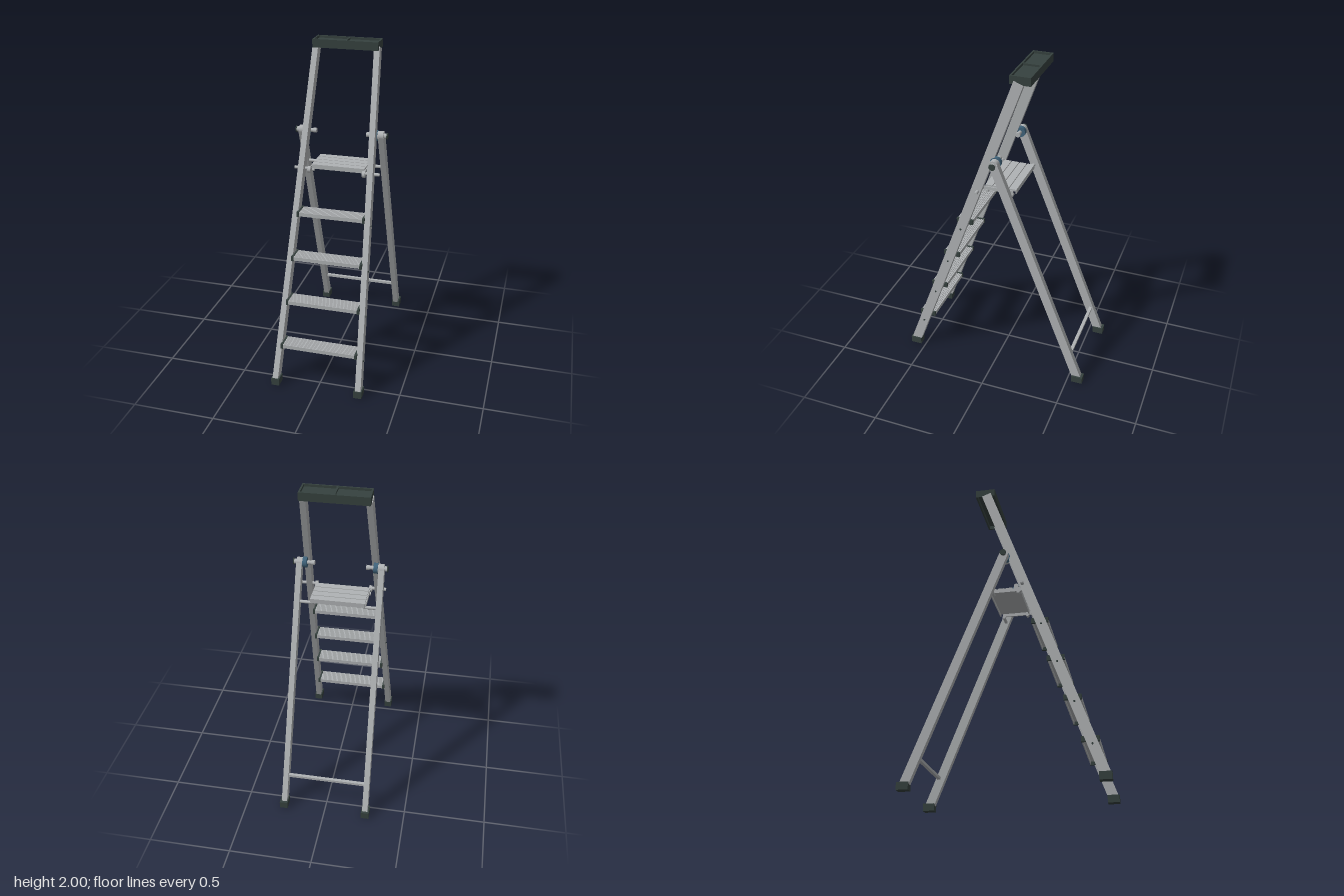
import * as THREE from 'three';

const mat = (name, color) => {
  const m = new THREE.MeshStandardMaterial({ color });
  m.name = name;
  return m;
};

export function createModel() {
  const aluminium = mat('aluminium', 0xb0b3b5);
  const plastic = mat('dark plastic', 0x36423f);
  const blue = mat('blue hinge', 0x40647c);

  const model = new THREE.Group();
  model.name = 'stepladder';

  const add = (name, geo, material, x = 0, y = 0, z = 0) => {
    const m = new THREE.Mesh(geo, material);
    m.name = name;
    m.position.set(x, y, z);
    model.add(m);
    return m;
  };
  const box = (name, material, w, h, d, x, y, z) =>
    add(name, new THREE.BoxGeometry(w, h, d), material, x, y, z);

  // Cylinder lying along x, from x0 to x1
  const pin = (name, material, r, x0, x1, y, z) =>
    add(name, new THREE.CylinderGeometry(r, r, Math.abs(x1 - x0), 20).rotateZ(Math.PI / 2),
      material, (x0 + x1) / 2, y, z);

  // Square bar running between two points
  const beam = (name, a, b, w, d) => {
    const dir = b.clone().sub(a);
    const m = add(name, new THREE.BoxGeometry(w, dir.length(), d), aluminium);
    const yAxis = dir.clone().normalize();
    const zAxis = new THREE.Vector3(1, 0, 0).cross(yAxis).normalize();
    const xAxis = yAxis.clone().cross(zAxis);
    m.quaternion.setFromRotationMatrix(new THREE.Matrix4().makeBasis(xAxis, yAxis, zAxis));
    m.position.copy(a).add(b).multiplyScalar(0.5);
  };

  // Channel-shaped tread with raised ribs, extruded across x
  const tread = (width, depth, ribs, ribHeight, top, gapShare) => {
    const h = depth / 2, lip = 0.006, under = top - ribHeight - 0.005, low = -0.012;
    const s = new THREE.Shape();
    s.moveTo(-h, low);
    s.lineTo(-h + lip, low);
    s.lineTo(-h + lip, under);
    s.lineTo(h - lip, under);
    s.lineTo(h - lip, low);
    s.lineTo(h, low);
    const gap = depth / ribs * gapShare;
    const rib = (depth - gap * (ribs - 1)) / ribs;
    for (let i = 0; i < ribs; i++) {
      const right = h - i * (rib + gap), left = right - rib;
      s.lineTo(right, top);
      s.lineTo(left, top);
      if (i < ribs - 1) {
        s.lineTo(left, top - ribHeight);
        s.lineTo(left - gap, top - ribHeight);
      }
    }
    s.closePath();
    return new THREE.ExtrudeGeometry(s, { depth: width, bevelEnabled: false })
      .translate(0, 0, -width / 2).rotateY(-Math.PI / 2);
  };

  // Centre line of the front rails at a given height
  const railX = y => 0.262 - 0.0385 * y;
  const railZ = y => 0.577 - 0.36 * y;
  const railPoint = (side, y) => new THREE.Vector3(side * railX(y), y, railZ(y));

  for (const side of [1, -1]) {
    // Rails, legs and feet
    beam('frontRail', railPoint(side, 0.02), railPoint(side, 1.96), 0.035, 0.061);
    beam('rearLeg', new THREE.Vector3(side * 0.258, 0.02, -0.565),
      new THREE.Vector3(side * 0.247, 1.46, 0), 0.034, 0.055);
    box('frontFoot', plastic, 0.05, 0.045, 0.07, side * 0.26, 0.0225, 0.565);
    box('rearFoot', plastic, 0.05, 0.045, 0.07, side * 0.26, 0.0225, -0.565);

    // Hinge
    pin('hingePin', aluminium, 0.012, side * 0.155, side * 0.275, 1.462, 0);
    pin('hingeInnerHead', aluminium, 0.015, side * 0.155, side * 0.175, 1.462, 0);
    pin('hingeCollar', blue, 0.033, side * 0.2, side * 0.226, 1.462, 0);
    pin('hingeBoss', aluminium, 0.028, side * 0.226, side * 0.262, 1.462, 0);
    pin('hingeSpacer', aluminium, 0.016, side * 0.262, side * 0.279, 1.462, 0);
    pin('hingeCap', plastic, 0.02, side * 0.279, side * 0.285, 1.462, 0);

    // Platform supports
    box('platformBracket', aluminium, 0.008, 0.022, 0.2, side * 0.167, 1.252, 0.01);
    pin('platformPin', aluminium, 0.01, side * 0.158, side * 0.264, 1.255, 0.112);
    pin('platformKnob', aluminium, 0.02, side * 0.16, side * 0.178, 1.25, 0.115);
    pin('platformRearPin', aluminium, 0.01, side * 0.155, side * 0.24, 1.234, -0.082);
    pin('platformLowerPin', aluminium, 0.01, side * 0.15, side * 0.176, 1.236, 0.075);
  }

  // Steps with end caps and rivets
  for (const y of [0.245, 0.5, 0.755, 1.01]) {
    const x = railX(y), z = railZ(y) - 0.002;
    add('step', tread(2 * x - 0.036, 0.1, 9, 0.003, 0.012, 0.4), aluminium, 0, y, z);
    for (const side of [1, -1]) {
      box('stepEndCap', plastic, 0.014, 0.032, 0.104, side * (x - 0.021), y, z);
      pin('rivet', plastic, 0.006, side * (x + 0.016), side * (x + 0.022), y - 0.04, z + 0.014);
    }
  }

  // Slatted platform
  add('platform', tread(0.33, 0.195, 4, 0.007, 0.016, 0.12), aluminium, 0, 1.257, -0.01);

  // Rear crossbar
  box('rearCrossbar', aluminium, 0.49, 0.016, 0.02, 0, 0.2, -0.505);

  // Tool tray on top
  const trayZ = -0.1375, trayD = 0.125;
  box('trayFloor', plastic, 0.396, 0.012, trayD - 0.004, 0, 1.98, trayZ);
  for (const s of [1, -1]) {
    box('traySide', plastic, 0.01, 0.05, trayD, s * 0.195, 1.975, trayZ);
    box('trayLip', plastic, 0.38, 0.05, 0.01, 0, 1.975, trayZ + s * (trayD / 2 - 0.005));
  }
  box('trayDivider', plastic, 0.01, 0.012, trayD - 0.02, 0, 1.992, trayZ);

  return model;
}
